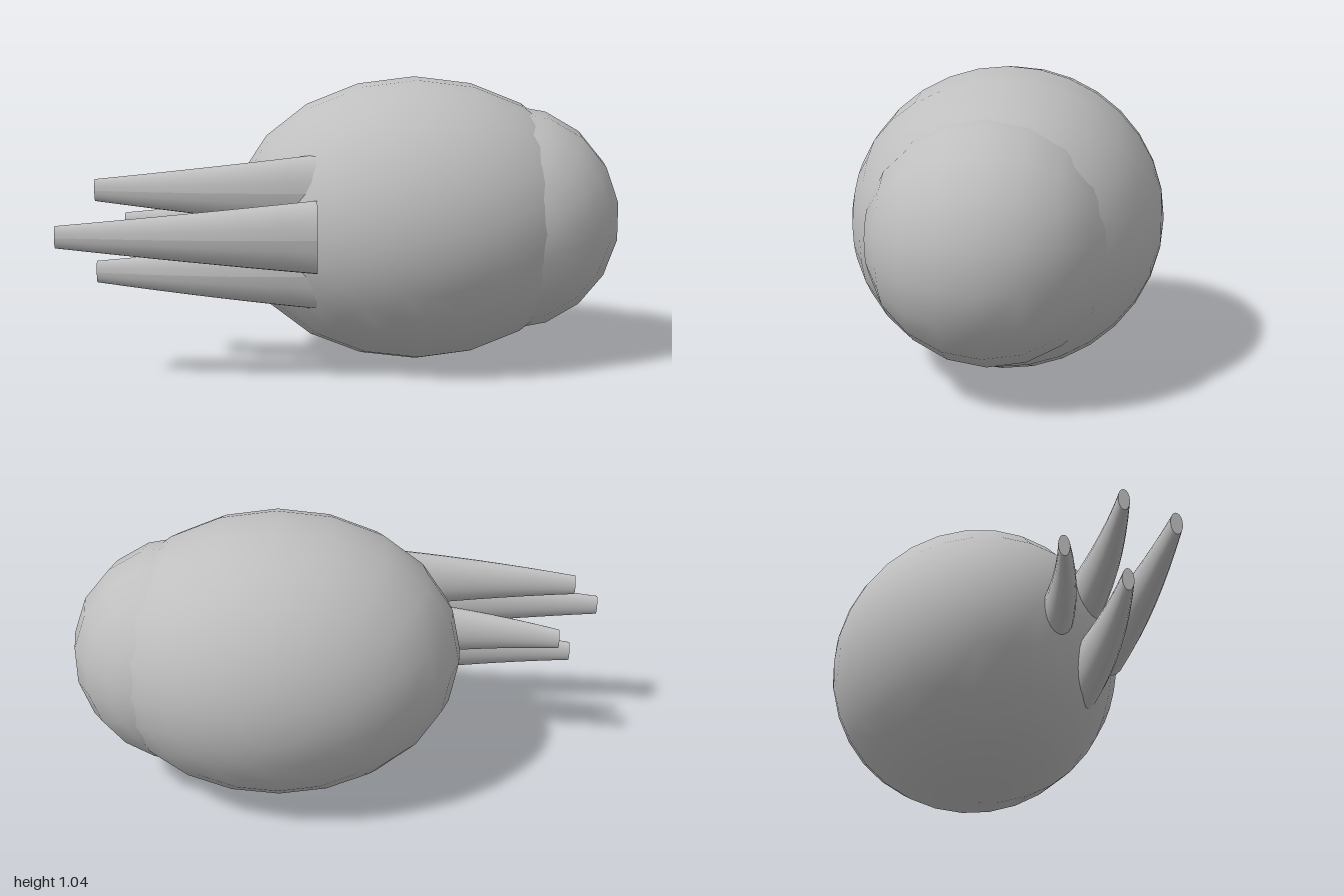
import * as THREE from 'three';

const MID_Y = 0.522;

// Ellipsoid with its poles along z
function ellipsoid(name, material, segments, rings, turn, radii, centre) {
  const geometry = new THREE.SphereGeometry(1, segments, rings);
  geometry.rotateX(Math.PI / 2);
  geometry.rotateZ(turn);
  geometry.scale(...radii);
  const mesh = new THREE.Mesh(geometry, material);
  mesh.name = name;
  mesh.position.set(...centre);
  return mesh;
}

// Tapered flattened spike running towards -x, its tip curving back in z
function spike(name, material, { length, y, z, bend }) {
  const baseX = -0.12;
  const geometry = new THREE.CylinderGeometry(0.038, 0.125, 1, 20, 8);
  geometry.rotateZ(Math.PI / 2);
  const p = geometry.attributes.position;
  for (let i = 0; i < p.count; i++) {
    const t = 0.5 - p.getX(i); // 0 at the base, 1 at the tip
    const flatten = 0.52 + 0.4 * t * (1 - t);
    p.setX(i, baseX - t * length);
    p.setZ(i, p.getZ(i) * flatten + z - bend * t * t);
  }
  geometry.computeVertexNormals();
  const mesh = new THREE.Mesh(geometry, material);
  mesh.name = name;
  mesh.position.y = y;
  return mesh;
}

export function createModel() {
  const model = new THREE.Group();
  model.name = 'spikedPod';
  const grey = new THREE.MeshStandardMaterial({ color: 0xbfbfbf });
  grey.name = 'plainGrey';

  // Large egg body and the rounded cap on its end
  model.add(ellipsoid('body', grey, 20, 16, 0, [0.67, 0.52, 0.54], [0.25, MID_Y, 0]));
  model.add(ellipsoid('endCap', grey, 18, 10, Math.PI / 18, [0.416, 0.416, 0.413], [0.59, MID_Y, 0.02]));

  // Ring of four spikes
  const spikes = [
    ['frontSpike', { length: 0.88, y: MID_Y, z: 0.437, bend: 0.054 }],
    ['upperSpike', { length: 0.76, y: MID_Y + 0.143, z: 0.332, bend: 0.072 }],
    ['lowerSpike', { length: 0.76, y: MID_Y - 0.143, z: 0.332, bend: 0.072 }],
    ['backSpike', { length: 0.68, y: MID_Y, z: 0.195, bend: 0.113 }],
  ];
  for (const [name, options] of spikes) model.add(spike(name, grey, options));

  return model;
}
